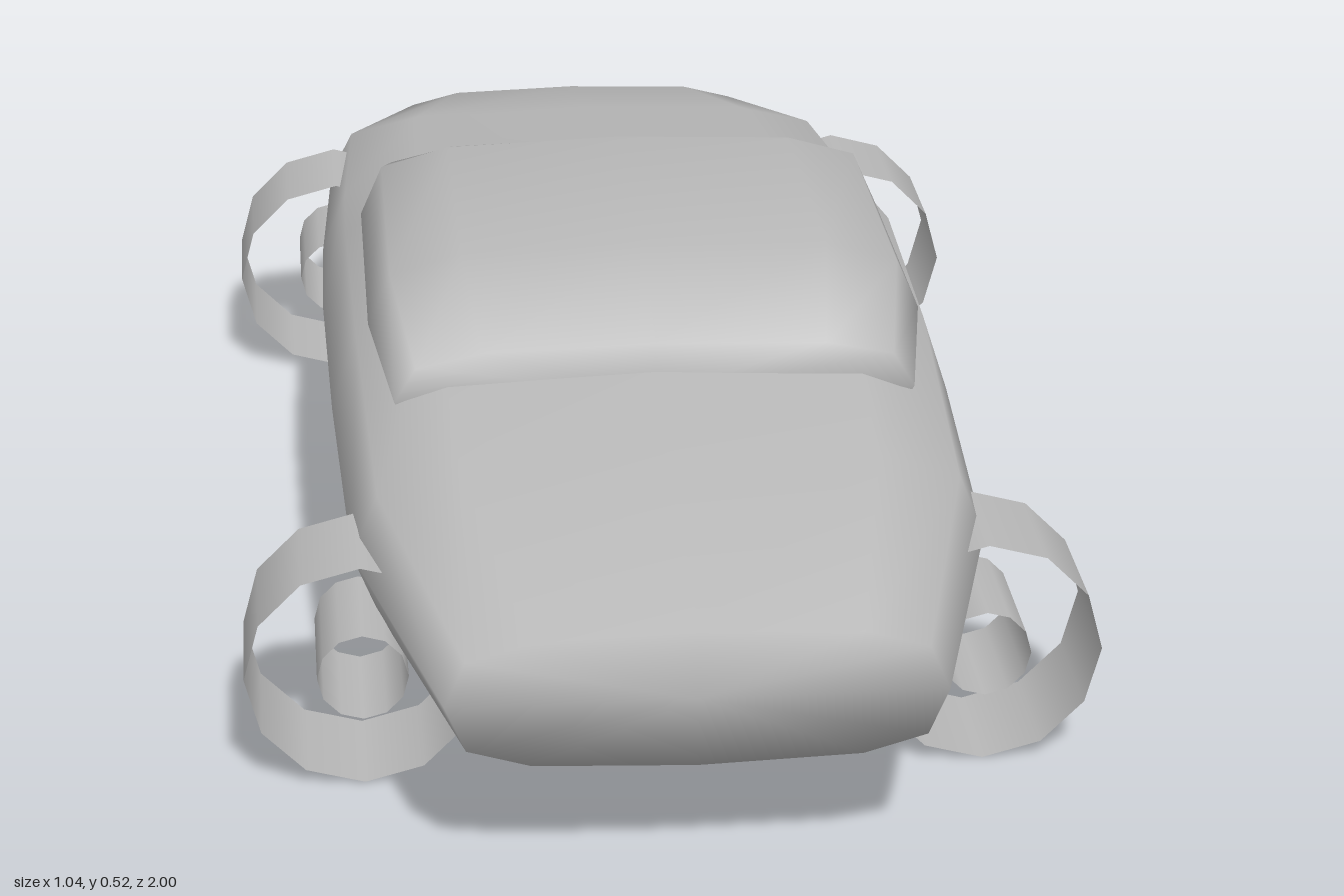
import * as THREE from 'three';

const SIDES = 12;
const grey = new THREE.MeshStandardMaterial({ color: 0xb8b8b8, side: THREE.DoubleSide });
grey.name = 'plain grey';

// Smooth closed hull through rounded sections, each [z, halfWidth, bottom, top], front to back
function loft(sections) {
  const pos = [], index = [];
  const round = (v) => Math.sign(v) * Math.pow(Math.abs(v), 0.6);
  for (const [z, w, bottom, top] of sections) {
    const cy = (top + bottom) / 2, h = (top - bottom) / 2;
    for (let j = 0; j < SIDES; j++) {
      const a = (j / SIDES) * Math.PI * 2;
      const c = Math.abs(Math.cos(a)) < 1e-6 ? 0 : Math.cos(a);
      const s = Math.abs(Math.sin(a)) < 1e-6 ? 0 : Math.sin(a);
      pos.push(w * round(c), cy + h * round(s), z);
    }
  }
  const last = sections.length - 1;
  for (let i = 0; i < last; i++) {
    for (let j = 0; j < SIDES; j++) {
      const k = (j + 1) % SIDES;
      const a = i * SIDES + j, b = a + SIDES, c = i * SIDES + k, d = c + SIDES;
      index.push(a, b, c, b, d, c);
    }
  }
  // End caps share the rim so the shading rolls over the edge
  for (const [row, front] of [[0, true], [last, false]]) {
    const [z, , bottom, top] = sections[row];
    const centre = pos.length / 3;
    pos.push(0, (top + bottom) / 2, z);
    for (let j = 0; j < SIDES; j++) {
      const a = row * SIDES + j, b = row * SIDES + ((j + 1) % SIDES);
      index.push(centre, front ? a : b, front ? b : a);
    }
  }
  const geo = new THREE.BufferGeometry();
  geo.setAttribute('position', new THREE.Float32BufferAttribute(pos, 3));
  geo.setIndex(index);
  geo.computeVertexNormals();
  return geo;
}

function part(name, geometry, parent) {
  const mesh = new THREE.Mesh(geometry, grey);
  mesh.name = name;
  parent.add(mesh);
  return mesh;
}

export function createModel() {
  const car = new THREE.Group();
  car.name = 'car';

  part('body', loft([
    [1, 0.29, 0.145, 0.315],
    [0.65, 0.385, 0.14, 0.38],
    [0.25, 0.4, 0.128, 0.44],
    [-0.1, 0.405, 0.125, 0.445],
    [-0.4, 0.4, 0.128, 0.38],
    [-0.8, 0.38, 0.135, 0.318],
    [-1, 0.27, 0.145, 0.285],
  ]), car);

  part('cabin', loft([
    [0.46, 0.325, 0.31, 0.447],
    [0.3, 0.352, 0.32, 0.52],
    [-0.1, 0.35, 0.32, 0.52],
    [-0.265, 0.33, 0.3, 0.46],
  ]), car);

  // Open tube wheels, their axes running along the car
  const tyre = new THREE.CylinderGeometry(0.1425, 0.1425, 0.16, SIDES, 1, true).rotateX(Math.PI / 2);
  const hub = new THREE.CylinderGeometry(0.055, 0.055, 0.167, SIDES, 1, true).rotateX(Math.PI / 2);
  for (const x of [-1, 1]) {
    for (const z of [-1, 1]) {
      const wheel = new THREE.Group();
      wheel.name = (z > 0 ? 'front' : 'rear') + (x > 0 ? 'Left' : 'Right') + 'Wheel';
      part('tyre', tyre, wheel);
      part('hub', hub, wheel);
      wheel.position.set(x * 0.377, 0.1425, z * 0.658);
      car.add(wheel);
    }
  }
  return car;
}
